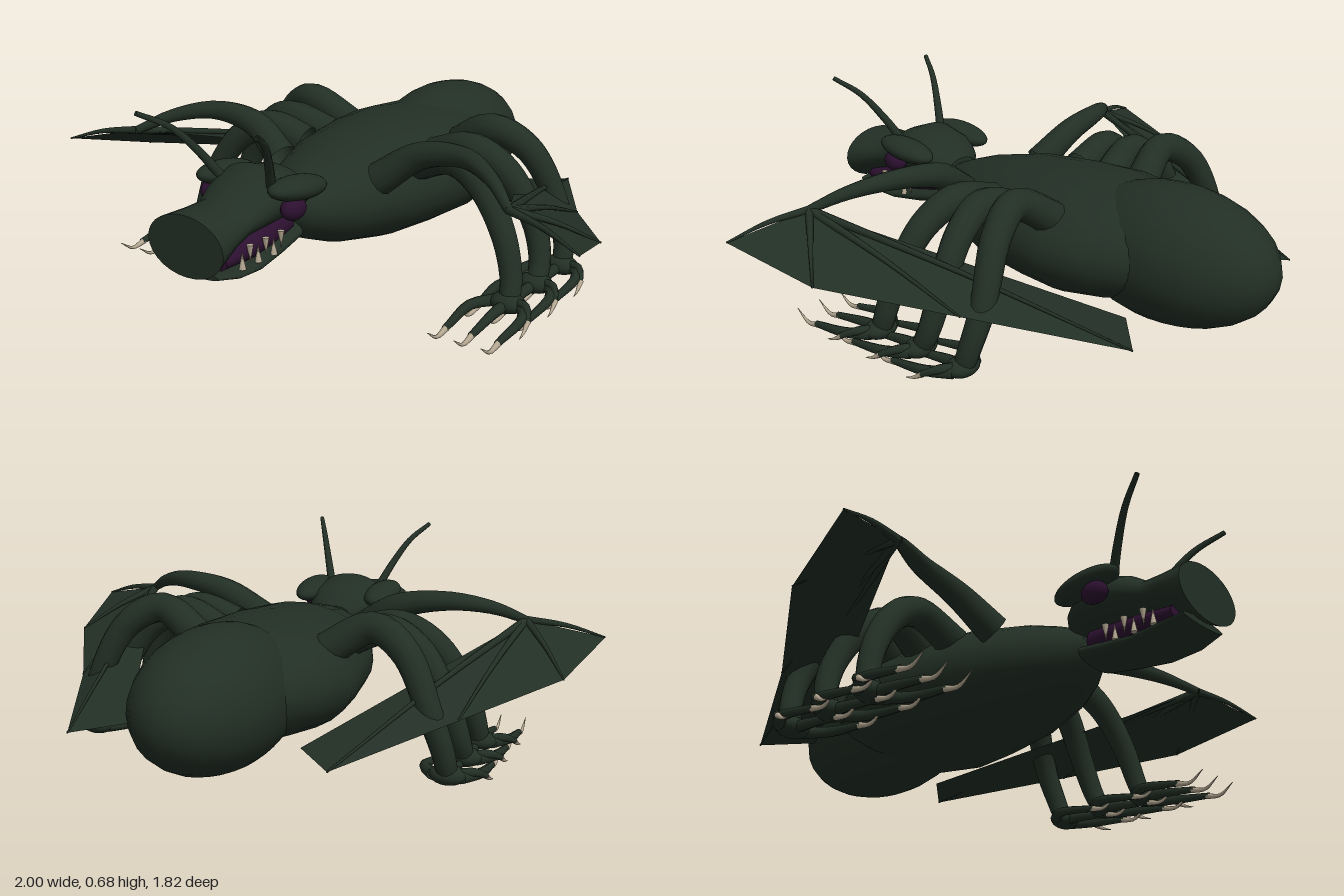
import * as THREE from 'three';

const material = (name, color) => {
  const m = new THREE.MeshStandardMaterial({ color, side: THREE.DoubleSide });
  m.name = name;
  return m;
};
const V = (x, y, z) => new THREE.Vector3(x, y, z);

export function createModel() {
  const root = new THREE.Group();
  root.name = 'wingedBeast';
  const hide = material('darkGreenHide', 0x222f25);
  const purple = material('deepPurple', 0x2c1030);
  const bone = material('bone', 0xb5a892);

  const add = (name, geometry, mat, parent = root) => {
    const mesh = new THREE.Mesh(geometry, mat);
    mesh.name = name;
    parent.add(mesh);
    return mesh;
  };

  const ball = (name, mat, c, r, parent) => {
    const m = add(name, new THREE.SphereGeometry(1, 24, 16), mat, parent);
    m.position.set(...c);
    m.scale.set(...r);
    return m;
  };

  // Elliptical rings along z, each given as [z, halfWidth, bottom, top], with flat caps
  const loft = (sections, n = 28) => {
    const pos = [], idx = [];
    const ring = ([z, rx, y0, y1]) => {
      for (let i = 0; i < n; i++) {
        const a = (i / n) * Math.PI * 2;
        pos.push(Math.cos(a) * rx, (y0 + y1) / 2 + Math.sin(a) * (y1 - y0) / 2, z);
      }
    };
    sections.forEach(ring);
    for (let k = 0; k < sections.length - 1; k++) {
      for (let i = 0; i < n; i++) {
        const a = k * n + i, b = k * n + (i + 1) % n;
        idx.push(a, a + n, b, b, a + n, b + n);
      }
    }
    // Caps get their own rings so the rim stays sharp
    for (const [s, front] of [[sections[0], true], [sections[sections.length - 1], false]]) {
      const base = pos.length / 3;
      ring(s);
      for (let i = 1; i < n - 1; i++) {
        if (front) idx.push(base, base + i, base + i + 1);
        else idx.push(base, base + i + 1, base + i);
      }
    }
    const g = new THREE.BufferGeometry();
    g.setAttribute('position', new THREE.Float32BufferAttribute(pos, 3));
    g.setIndex(idx);
    g.computeVertexNormals();
    return g;
  };

  // Tube through points, tapering from r0 to r1
  const taper = (points, r0, r1, segments = 18, sides = 12) => {
    const curve = new THREE.CatmullRomCurve3(points);
    const g = new THREE.TubeGeometry(curve, segments, 1, sides, false);
    const p = g.attributes.position, v = V(0, 0, 0);
    for (let i = 0; i < p.count; i++) {
      const t = Math.floor(i / (sides + 1)) / segments;
      const c = curve.getPointAt(t);
      v.fromBufferAttribute(p, i).sub(c).multiplyScalar(r0 + (r1 - r0) * t).add(c);
      p.setXYZ(i, v.x, v.y, v.z);
    }
    return g;
  };

  // Body and abdomen
  add('body', loft([
    [0.47, 0.05, 0.28, 0.36], [0.44, 0.095, 0.235, 0.385], [0.38, 0.145, 0.195, 0.41],
    [0.28, 0.205, 0.155, 0.445], [0.1, 0.275, 0.12, 0.485], [-0.1, 0.315, 0.11, 0.5],
    [-0.25, 0.335, 0.11, 0.5], [-0.4, 0.3, 0.13, 0.49], [-0.55, 0.22, 0.17, 0.46],
    [-0.65, 0.1, 0.25, 0.38]]), hide);
  ball('abdomen', hide, [0, 0.305, -0.535], [0.23, 0.226, 0.375]);

  // Head, flared snout and jaw
  const head = new THREE.Group();
  head.name = 'head';
  root.add(head);
  add('skullAndSnout', loft([
    [0.91, 0.145, 0.24, 0.43], [0.82, 0.125, 0.285, 0.428], [0.74, 0.112, 0.31, 0.432],
    [0.68, 0.13, 0.315, 0.475], [0.6, 0.142, 0.32, 0.505], [0.5, 0.13, 0.33, 0.48],
    [0.45, 0.1, 0.335, 0.44], [0.42, 0.06, 0.35, 0.41]]), hide, head);
  add('lowerJaw', loft([
    [0.885, 0.1, 0.235, 0.26], [0.8, 0.115, 0.212, 0.252], [0.7, 0.11, 0.2, 0.255],
    [0.58, 0.1, 0.212, 0.28], [0.48, 0.09, 0.23, 0.3]]), hide, head);
  add('mouth', loft([
    [0.84, 0.095, 0.24, 0.31], [0.7, 0.095, 0.23, 0.335], [0.5, 0.07, 0.24, 0.36]]), purple, head);

  for (const s of [1, -1]) {
    const side = s > 0 ? 'left' : 'right';
    const P = (x, y, z) => V(s * x, y, z);

    // Brow, eye, antenna and teeth
    const brow = ball(side + 'Brow', hide, [s * 0.14, 0.445, 0.565], [0.06, 0.038, 0.125], head);
    brow.rotation.x = -0.12;
    ball(side + 'Eye', purple, [s * 0.158, 0.395, 0.61], [0.034, 0.036, 0.047], head);
    add(side + 'Antenna', taper([P(0.1, 0.46, 0.64), P(0.135, 0.54, 0.69), P(0.18, 0.625, 0.76),
      P(0.23, 0.68, 0.85)], 0.016, 0.008, 14, 8), hide, head);
    for (let i = 0; i < 6; i++) {
      const up = i % 2;
      const tooth = add(side + 'Tooth', new THREE.ConeGeometry(0.011, 0.055, 8), bone, head);
      tooth.position.set(s * 0.1, up ? 0.272 : 0.282, 0.6 + i * 0.036);
      tooth.rotation.x = up ? 0 : Math.PI;
    }

    // Wing arm, fingers and membrane
    const wing = new THREE.Group();
    wing.name = side + 'Wing';
    root.add(wing);
    const wrist = P(0.74, 0.435, 0.36);
    add('wingArm', taper([P(0.2, 0.39, 0.22), P(0.33, 0.48, 0.19), P(0.5, 0.51, 0.205),
      P(0.64, 0.485, 0.28), wrist], 0.056, 0.014), hide, wing);
    const tips = [P(1, 0.38, 0.44), P(0.925, 0.3, 0.12), P(0.68, 0.235, -0.255),
      P(0.435, 0.185, -0.71), P(0.295, 0.195, -0.575)];
    const panels = [];
    tips.forEach((tip, i) => {
      if (i < 4) {
        add('wingFinger', taper([wrist, wrist.clone().lerp(tip, 0.5).add(V(0, 0.012, 0)), tip],
          0.014, 0.003, 8, 8), hide, wing);
        const tri = [wrist, tips[i + 1], tip];
        if (s < 0) tri.reverse();
        tri.forEach(v => panels.push(...v.toArray()));
      }
    });
    const skin = new THREE.BufferGeometry();
    skin.setAttribute('position', new THREE.Float32BufferAttribute(panels, 3));
    skin.computeVertexNormals();
    add('wingMembrane', skin, hide, wing);

    // Three legs: [name, shoulder z, knee z, shin z, ankle z, knee height]
    const legs = [
      ['front', 0.05, 0.06, 0.11, 0.15, 0.445],
      ['middle', -0.09, -0.06, -0.09, -0.04, 0.455],
      ['hind', -0.23, -0.2, -0.27, -0.23, 0.49]];
    for (const [name, z0, z1, z2, z3, knee] of legs) {
      const leg = new THREE.Group();
      leg.name = side + name[0].toUpperCase() + name.slice(1) + 'Leg';
      root.add(leg);
      add('limb', taper([P(0.22, 0.4, z0), P(0.38, knee, z1), P(0.5, knee - 0.06, (z1 + z2) / 2),
        P(0.6, 0.24, z2), P(0.64, 0.11, z2 + 0.02), P(0.645, 0.05, z3)], 0.058, 0.034, 24), hide, leg);
      ball('foot', hide, [s * 0.645, 0.048, z3 + 0.005], [0.06, 0.033, 0.045], leg);
      // Long toes ending in upturned claws
      for (const dx of [-0.09, 0, 0.09]) {
        const x = 0.64 + dx;
        add('toe', taper([P(0.645 + dx * 0.5, 0.045, z3), P(x, 0.042, z3 + 0.07),
          P(x, 0.02, z3 + 0.23)], 0.021, 0.011, 8, 8), hide, leg);
        add('claw', taper([P(x, 0.02, z3 + 0.22), P(x, 0.011, z3 + 0.275),
          P(x, 0.045, z3 + 0.33)], 0.011, 0.001, 8, 8), bone, leg);
      }
      // Short outer thumb
      add('thumb', taper([P(0.66, 0.05, z3), P(0.72, 0.058, z3 + 0.03), P(0.75, 0.035, z3 + 0.08)],
        0.02, 0.01, 8, 8), hide, leg);
      add('thumbClaw', taper([P(0.75, 0.036, z3 + 0.075), P(0.755, 0.015, z3 + 0.11),
        P(0.757, 0.006, z3 + 0.14)], 0.01, 0.001, 6, 8), bone, leg);
    }
  }
  return root;
}
